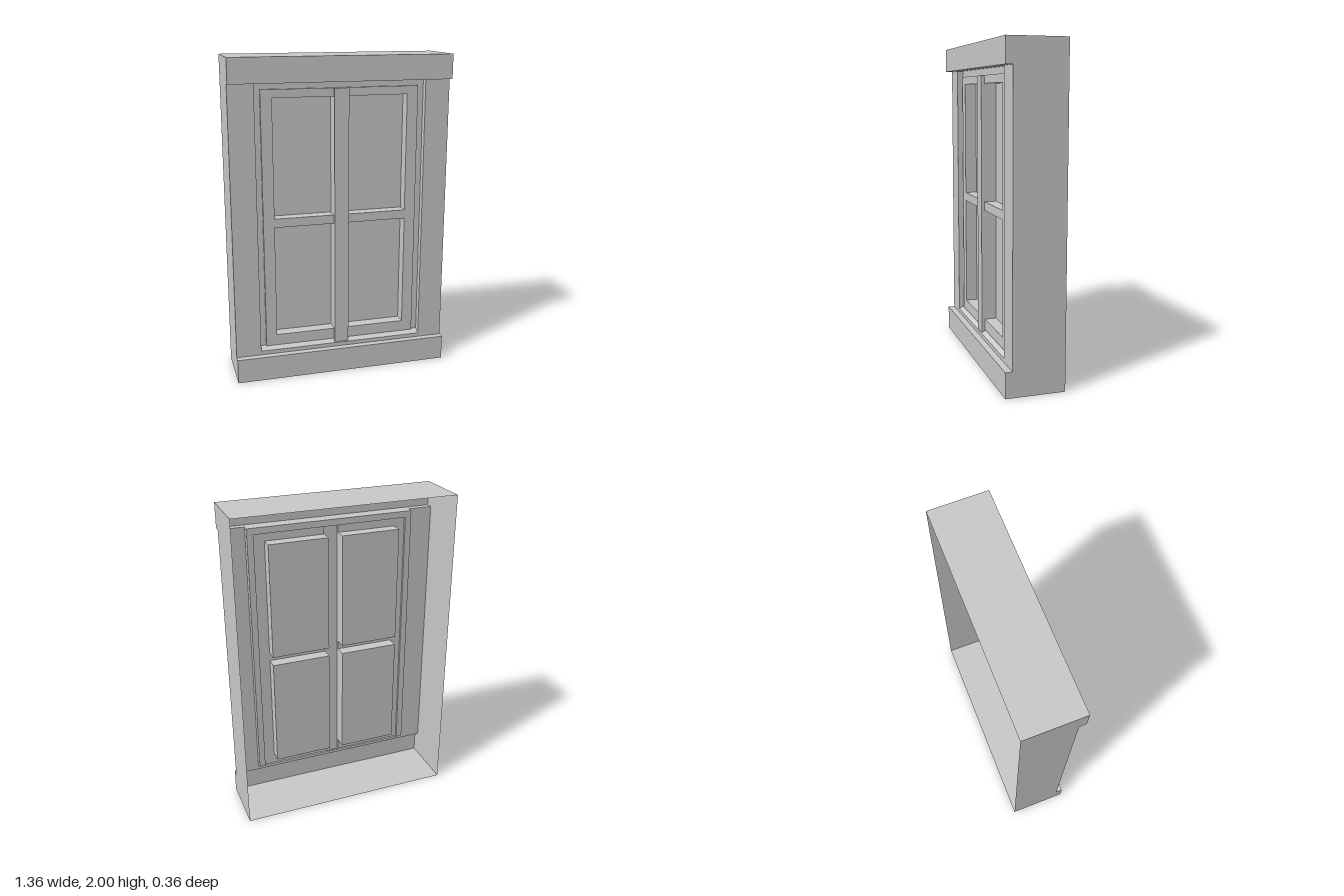
import * as THREE from 'three';

const W = 0.682, H = 2, BACK = -0.18, FRONT = 0.182;
const WALL = 0.14, RING = 0.1, SASH = 0.115, BAR = 0.135, PANE = 0.04; // z of each layer
const OPEN_X = 0.526, SASH_X = 0.487, PANE_X = 0.418, BAR_X = 0.045;
const HEAD_Y = 1.85, SILL_Y = 0.155;
const paneRows = [[0.27, 0.975], [1.03, 1.76]];

const material = new THREE.MeshStandardMaterial({ color: 0xcccccc, flatShading: true, side: THREE.DoubleSide });

// counter-clockwise rectangle at depth z
const rect = (x0, x1, y0, y1, z) => [[x0, y0, z], [x1, y0, z], [x1, y1, z], [x0, y1, z]];

// walls joining two matching rows of points
function loft(a, b, closed = true) {
  const pos = [];
  const n = a.length;
  for (let i = 0; i < (closed ? n : n - 1); i++) {
    const j = (i + 1) % n;
    pos.push(...a[i], ...a[j], ...b[j], ...a[i], ...b[j], ...b[i]);
  }
  const g = new THREE.BufferGeometry();
  g.setAttribute('position', new THREE.Float32BufferAttribute(pos, 3));
  g.computeVertexNormals();
  return g;
}

// flat sheet facing +z
function plate(points, z = 0) {
  const shape = new THREE.Shape(points.map(([x, y]) => new THREE.Vector2(x, y)));
  return new THREE.ShapeGeometry(shape).translate(0, 0, z);
}

// profile of [z, y] points swept across the full width
const sweep = (path) => loft(path.map(([z, y]) => [-W, y, z]), path.map(([z, y]) => [W, y, z]), false);

export function createModel() {
  const model = new THREE.Group();
  const add = (name, geometry) => {
    const mesh = new THREE.Mesh(geometry, material);
    mesh.name = name;
    model.add(mesh);
  };

  // header and sill, open at the back
  add('header', sweep([[BACK, H], [FRONT, H], [FRONT, HEAD_Y], [WALL, HEAD_Y]]));
  add('sill', sweep([[WALL, SILL_Y], [FRONT, SILL_Y], [FRONT, 0], [BACK, 0]]));

  // notched side walls
  const side = [[BACK, 0], [FRONT, 0], [FRONT, SILL_Y], [WALL, SILL_Y],
    [WALL, HEAD_Y], [FRONT, HEAD_Y], [FRONT, H], [BACK, H]];
  for (const s of [1, -1]) {
    const g = plate(side.map(([z, y]) => [-s * z, y])).rotateY(s * Math.PI / 2).translate(s * W, 0, 0);
    add(s > 0 ? 'leftSide' : 'rightSide', g);
  }

  // front casing around the opening, and its reveal with a sloped ledge
  add('casing', plate([[-W, SILL_Y], [W, SILL_Y], [W, HEAD_Y], [OPEN_X, HEAD_Y],
    [OPEN_X, 0.18], [-OPEN_X, 0.18], [-OPEN_X, HEAD_Y], [-W, HEAD_Y]], WALL));
  add('reveal', loft(rect(-OPEN_X, OPEN_X, 0.18, HEAD_Y, WALL), rect(-OPEN_X, OPEN_X, 0.2, HEAD_Y, RING)));
  add('stop', plate([[-OPEN_X, 0.2], [-SASH_X, 0.2], [-SASH_X, 1.81], [SASH_X, 1.81],
    [SASH_X, 0.2], [OPEN_X, 0.2], [OPEN_X, HEAD_Y], [-OPEN_X, HEAD_Y]], RING));

  // sash edge and central bar
  add('sashEdge', loft(rect(-SASH_X, SASH_X, 0.2, 1.81, RING), rect(-SASH_X, SASH_X, 0.2, 1.81, SASH)));
  const barFront = rect(-BAR_X, BAR_X, 0.1825, 1.81, BAR);
  add('centreBarSides', loft(rect(-BAR_X, BAR_X, 0.1925, 1.81, SASH), barFront));
  add('centreBarFront', plate(barFront, BAR));

  // mirrored sashes, each with two recessed panes
  const outline = [[BAR_X, 1.81], [SASH_X, 1.81], [SASH_X, 0.2], [BAR_X, 0.2]];
  for (const [y0, y1] of paneRows) outline.push([BAR_X, y0], [PANE_X, y0], [PANE_X, y1], [BAR_X, y1]);
  for (const s of [1, -1]) {
    const label = s > 0 ? 'left' : 'right';
    add(label + 'Sash', plate(outline.map(([x, y]) => [s * x, y]), SASH));
    const x0 = s > 0 ? BAR_X : -PANE_X, x1 = s > 0 ? PANE_X : -BAR_X;
    paneRows.forEach(([y0, y1], i) => {
      const name = label + (i ? 'Upper' : 'Lower') + 'Pane';
      const back = rect(x0, x1, y0, y1, PANE);
      add(name, plate(back, PANE));
      add(name + 'Recess', loft(rect(x0, x1, y0, y1, SASH), back));
    });
  }
  return model;
}
